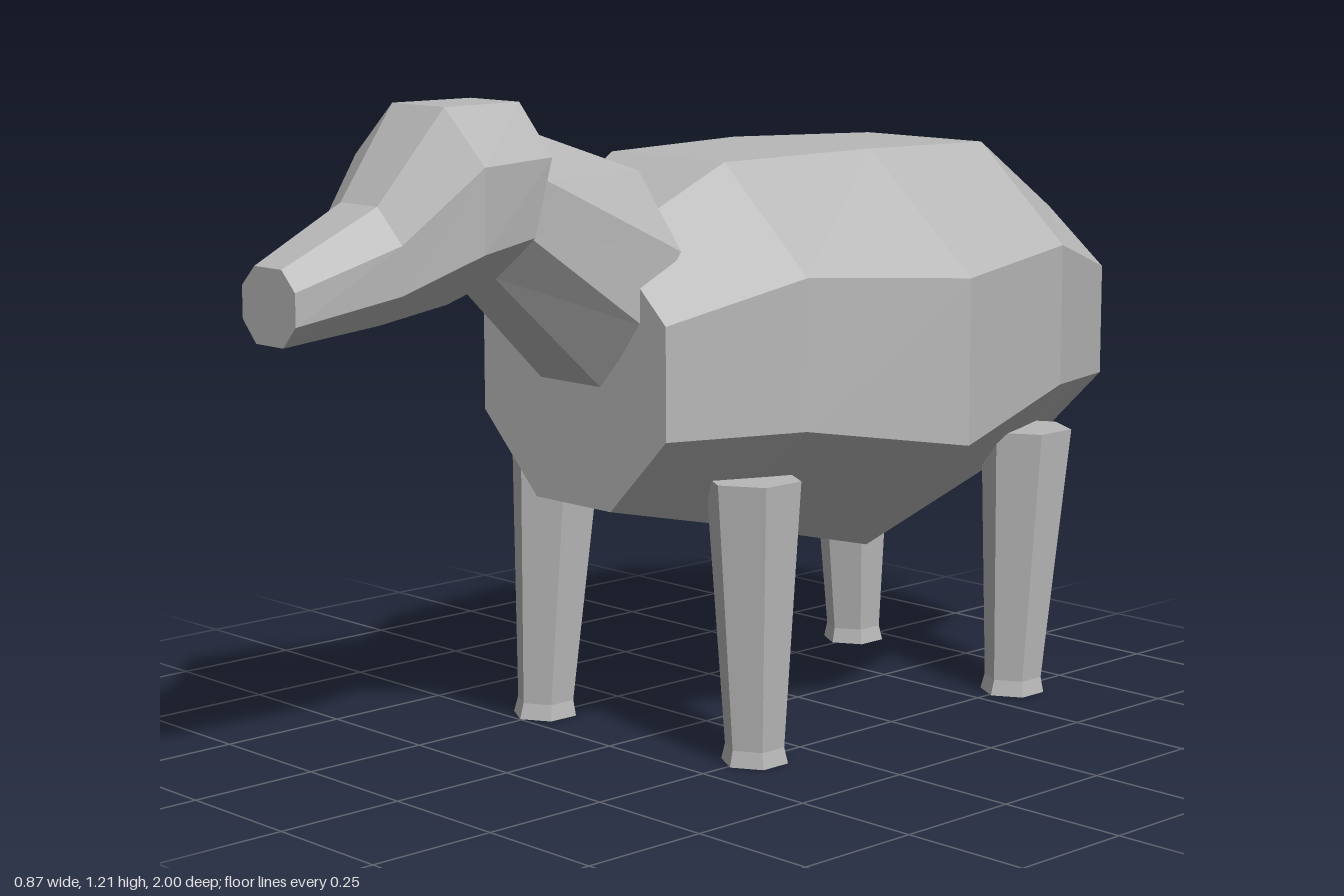
import * as THREE from 'three';

// Skin closed rings of points, with flat facets and end caps.
// Rings run clockwise when looked at against the direction of travel.
function loft(rings) {
  const n = rings[0].length;
  const pos = [];
  const tri = (a, b, c) => pos.push(...a, ...b, ...c);
  for (let i = 0; i < rings.length - 1; i++) {
    for (let j = 0; j < n; j++) {
      const k = (j + 1) % n;
      const a = rings[i][j], b = rings[i][k], c = rings[i + 1][k], d = rings[i + 1][j];
      tri(a, d, c);
      tri(a, c, b);
    }
  }
  const first = rings[0], last = rings[rings.length - 1];
  for (let j = 1; j < n - 1; j++) {
    tri(first[0], first[j], first[j + 1]);
    tri(last[0], last[j + 1], last[j]);
  }
  const g = new THREE.BufferGeometry();
  g.setAttribute('position', new THREE.Float32BufferAttribute(pos, 3));
  g.computeVertexNormals();
  return g;
}

// Complete a half section (+x side, top to bottom) with its mirror image
const mirrored = (half) => [...half, ...half.map(([x, y, z]) => [-x, y, z]).reverse()];

export function createModel() {
  const model = new THREE.Group();
  model.name = 'sheep';
  const wool = new THREE.MeshStandardMaterial({ color: 0xb8b8b8, flatShading: true });
  wool.name = 'grey';

  const add = (name, rings) => {
    const mesh = new THREE.Mesh(loft(rings), wool);
    mesh.name = name;
    model.add(mesh);
  };

  // Barrel body: z, flat half-width, full half-width, then the four heights
  const bodySections = [
    [-0.87, 0.10, 0.24, 0.93, 0.82, 0.605, 0.47],
    [-0.60, 0.15, 0.36, 1.08, 0.895, 0.625, 0.42],
    [-0.25, 0.18, 0.435, 1.09, 0.87, 0.56, 0.335],
    [0.10, 0.15, 0.36, 1.085, 0.895, 0.62, 0.42],
    [0.335, 0.10, 0.245, 0.955, 0.82, 0.615, 0.47],
  ];
  add('body', bodySections.map(([z, flat, wide, top, upper, lower, bottom]) => mirrored([
    [flat, top, z], [wide, upper, z], [wide, lower, z], [flat, bottom, z],
  ])));

  // Neck rising forward into the head
  add('neck', [
    [[0.08, 1.075, 0.245], [0.195, 0.94, 0.25], [0.18, 0.815, 0.33], [0.08, 0.695, 0.34]],
    [[0.065, 1.165, 0.51], [0.15, 1.08, 0.52], [0.14, 0.99, 0.56], [0.065, 0.91, 0.57]],
  ].map(mirrored));

  // Head tapering to the muzzle
  add('head', [
    [[0.065, 1.21, 0.51], [0.15, 1.12, 0.51], [0.15, 0.985, 0.55], [0.065, 0.91, 0.56]],
    [[0.07, 1.21, 0.68], [0.175, 1.115, 0.68], [0.172, 0.968, 0.68], [0.07, 0.875, 0.68]],
    [[0.05, 1.05, 0.81], [0.115, 0.99, 0.81], [0.112, 0.905, 0.81], [0.05, 0.85, 0.81]],
    [[0.037, 0.96, 1], [0.073, 0.925, 1], [0.073, 0.868, 1], [0.037, 0.83, 1]],
  ].map(mirrored));

  // Drooping tail
  add('tail', [
    [[0.008, 0.685, -1], [0.016, 0.665, -1], [0.008, 0.64, -1]],
    [[0.018, 0.81, -0.93], [0.034, 0.775, -0.93], [0.018, 0.735, -0.93]],
    [[0.02, 0.895, -0.85], [0.042, 0.855, -0.85], [0.02, 0.80, -0.85]],
  ].map(mirrored));

  // Six-sided legs in mid-step: name, side, z of the foot, z of the top
  const legs = [
    ['frontLeftLeg', 1, 0.125, 0.13],
    ['frontRightLeg', -1, 0.185, 0.15],
    ['backLeftLeg', 1, -0.595, -0.625],
    ['backRightLeg', -1, -0.68, -0.665],
  ];
  const legSections = [[0, 0.063], [0.03, 0.056], [0.27, 0.072], [0.525, 0.089]]; // height, radius
  for (const [name, side, zFoot, zTop] of legs) {
    add(name, legSections.map(([y, r]) => {
      const zc = THREE.MathUtils.lerp(zFoot, zTop, y / 0.525);
      return Array.from({ length: 6 }, (_, i) => {
        const a = (i + 0.5) * Math.PI / 3;
        return [side * 0.256 + r * Math.cos(a), y, zc + r * Math.sin(a)];
      });
    }));
  }

  return model;
}
